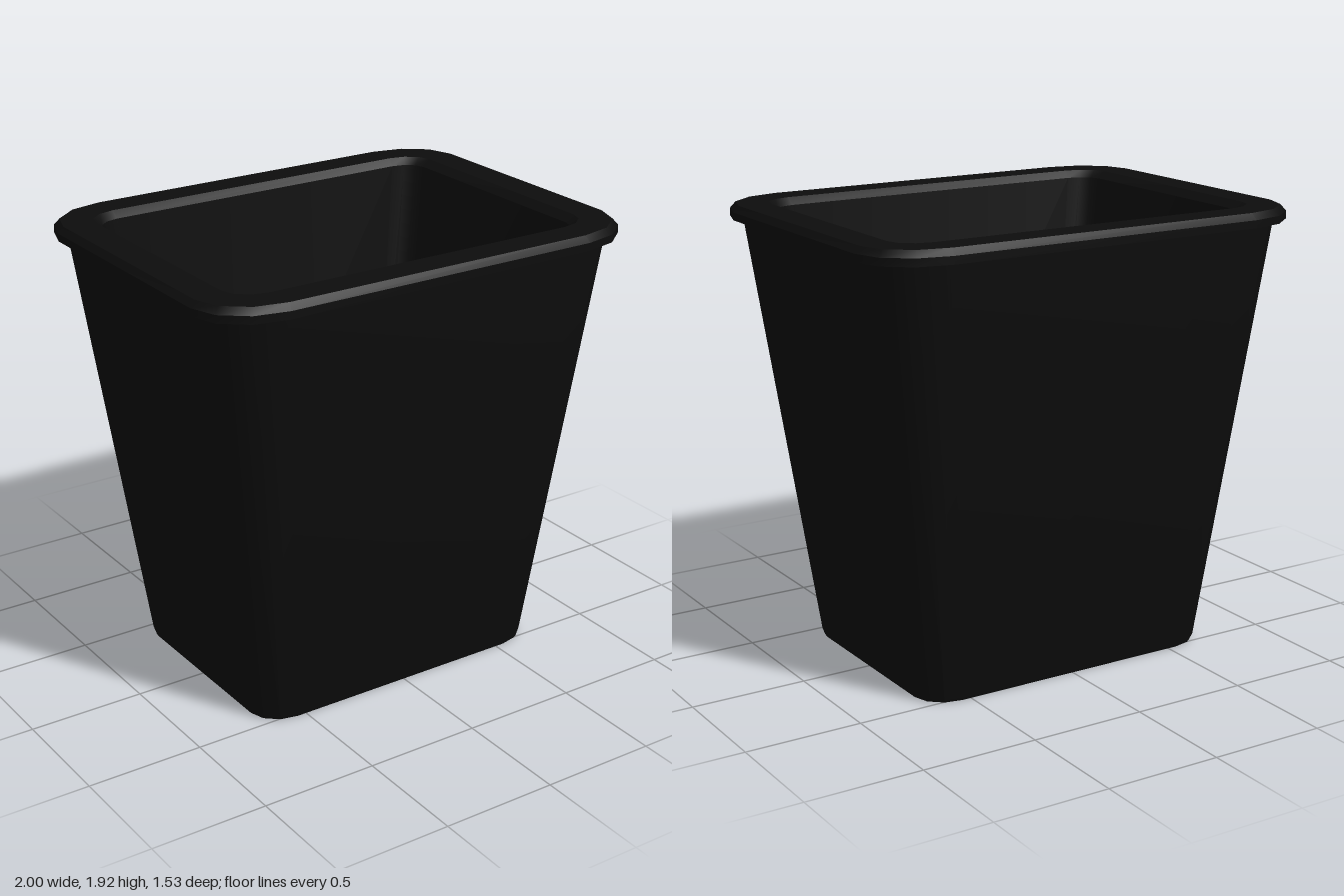
import * as THREE from 'three';
import { toCreasedNormals } from 'three/addons/utils/BufferGeometryUtils.js';

const CORNER_STEPS = 3;

// Rounded rectangle in the xz plane: half sizes hx, hz and corner radii rx, rz at height y
function ring([hx, hz, rx, rz, y]) {
  const points = [];
  for (let q = 0; q < 4; q++) {
    const sx = q === 0 || q === 3 ? 1 : -1;
    const sz = q < 2 ? 1 : -1;
    for (let i = 0; i <= CORNER_STEPS; i++) {
      const t = (q + i / CORNER_STEPS) * Math.PI / 2;
      points.push([sx * (hx - rx) + rx * Math.cos(t), y, sz * (hz - rz) + rz * Math.sin(t)]);
    }
  }
  return points;
}

// Skin a list of cross-sections; a section of zero size closes the end with a fan
function loft(sections) {
  const rings = sections.map(ring);
  const n = rings[0].length;
  const positions = [];
  for (let i = 0; i < rings.length - 1; i++) {
    for (let j = 0; j < n; j++) {
      const k = (j + 1) % n;
      const a = rings[i][j], b = rings[i][k], c = rings[i + 1][j], d = rings[i + 1][k];
      if (sections[i][0] > 0) positions.push(...a, ...c, ...b);
      if (sections[i + 1][0] > 0) positions.push(...b, ...c, ...d);
    }
  }
  const geometry = new THREE.BufferGeometry();
  geometry.setAttribute('position', new THREE.Float32BufferAttribute(positions, 3));
  return toCreasedNormals(geometry, 0.6);
}

export function createModel() {
  const blackPlastic = new THREE.MeshStandardMaterial({ color: 0x0d0d0d });
  blackPlastic.name = 'blackPlastic';
  const model = new THREE.Group();
  model.name = 'wasteBin';

  // Sections run from the base, up the outside, over the rim and down the inside
  const wallTop = [0.95, 0.72, 0.25, 0.2, 1.86];
  const innerTop = [0.81, 0.585, 0.11, 0.09, 1.89];
  const parts = {
    outerWallAndBase: [
      [0, 0, 0, 0, 0],
      [0.69, 0.52, 0.15, 0.13, 0],
      [0.697, 0.527, 0.155, 0.135, 0.012],
      wallTop,
    ],
    rim: [
      wallTop,
      [1, 0.765, 0.29, 0.235, 1.86],
      [1, 0.765, 0.29, 0.235, 1.893],
      [0.978, 0.743, 0.275, 0.22, 1.92],
      [0.845, 0.612, 0.14, 0.115, 1.92],
      innerTop,
    ],
    innerWallAndFloor: [
      innerTop,
      [0.55, 0.39, 0.09, 0.08, 0.07],
      [0, 0, 0, 0, 0.07],
    ],
  };

  for (const [name, sections] of Object.entries(parts)) {
    const mesh = new THREE.Mesh(loft(sections), blackPlastic);
    mesh.name = name;
    model.add(mesh);
  }
  return model;
}
